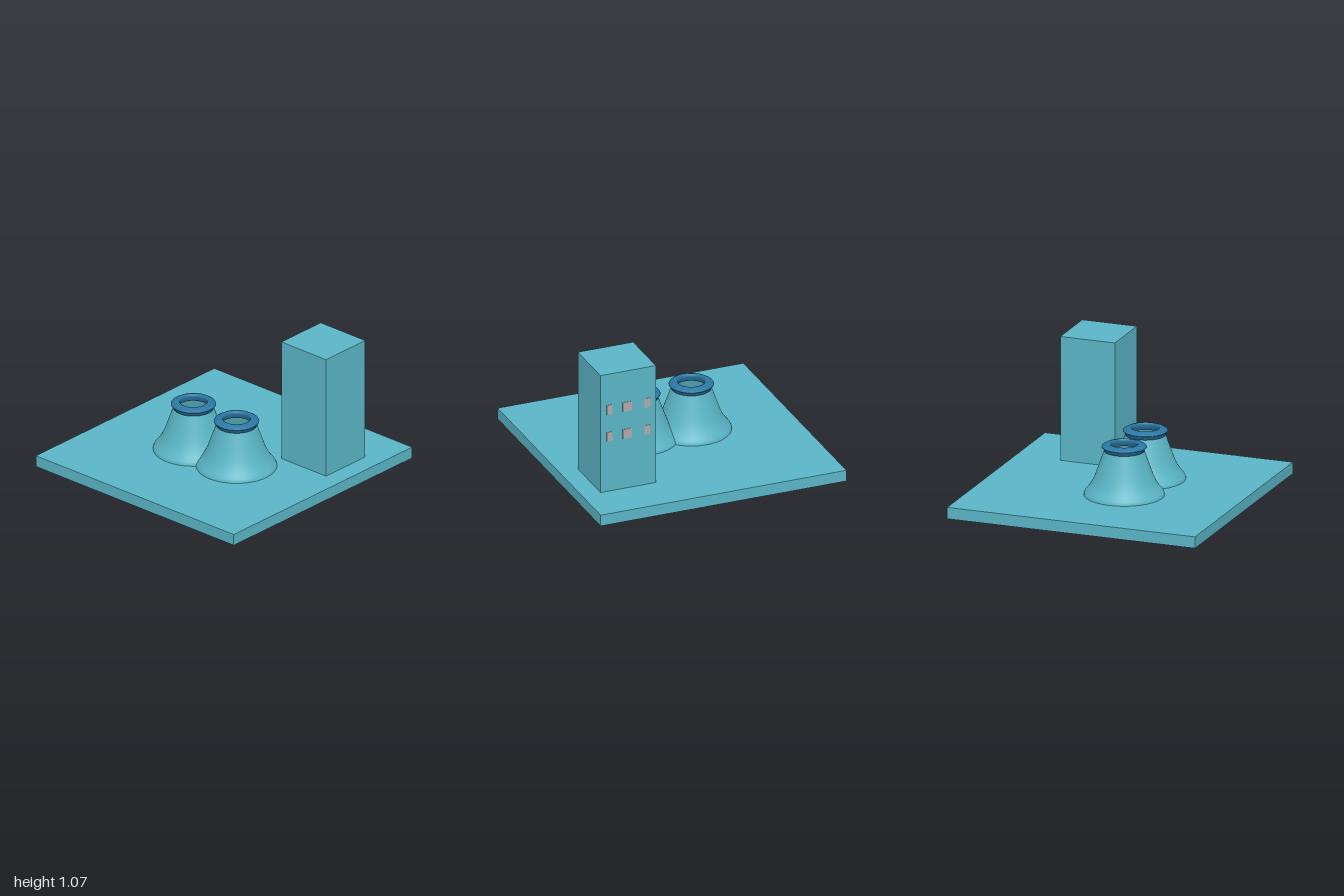
import * as THREE from 'three';

const teal = new THREE.MeshStandardMaterial({ color: 0x5ab5c6 });
const tealShell = new THREE.MeshStandardMaterial({ color: 0x5ab5c6, side: THREE.DoubleSide });
const blue = new THREE.MeshStandardMaterial({ color: 0x2a78a4, side: THREE.DoubleSide });
const grey = new THREE.MeshStandardMaterial({ color: 0xb0aaa8 });

// Box given by its lower and upper corners
function box(name, min, max, material) {
  const size = max.map((v, i) => v - min[i]);
  const mesh = new THREE.Mesh(new THREE.BoxGeometry(...size), material);
  mesh.position.set(...max.map((v, i) => (v + min[i]) / 2));
  mesh.name = name;
  return mesh;
}

// Lathe from [radius, height] pairs
function lathe(name, profile, material) {
  const points = profile.map(([r, y]) => new THREE.Vector2(r, y));
  const mesh = new THREE.Mesh(new THREE.LatheGeometry(points, 64), material);
  mesh.name = name;
  return mesh;
}

// Hollow flared tower with a collar around its open mouth
function coolingTower(x, z) {
  const tower = new THREE.Group();
  tower.name = 'coolingTower';
  tower.add(lathe('towerShell', [
    [0.305, 0.085], [0.303, 0.1], [0.295, 0.118], [0.268, 0.15], [0.242, 0.19],
    [0.218, 0.245], [0.197, 0.305], [0.174, 0.37], [0.152, 0.435],
  ], tealShell));
  tower.add(lathe('towerRim', [
    [0.12, 0.43], [0.152, 0.43], [0.154, 0.452], [0.17, 0.464], [0.168, 0.469],
    [0.145, 0.483], [0.115, 0.491], [0.106, 0.487], [0.102, 0.475], [0.106, 0.455], [0.12, 0.43],
  ], blue));
  tower.position.set(x, 0, z);
  return tower;
}

export function createModel() {
  const model = new THREE.Group();
  model.name = 'powerPlant';

  // Ground slab
  model.add(box('base', [-1, 0, -1], [1, 0.09, 1], teal));

  // Twin overlapping towers
  for (const x of [-0.205, 0.23]) model.add(coolingTower(x, 0.115));

  // Office block with two rows of windows on its back wall
  const office = new THREE.Group();
  office.name = 'officeBlock';
  office.add(box('officeWalls', [0.4, 0.09, -0.64], [0.85, 1.065, -0.2], teal));
  for (const y of [0.505, 0.73]) {
    for (const [x0, x1] of [[0.445, 0.492], [0.595, 0.67], [0.755, 0.8]]) {
      office.add(box('window', [x0, y, -0.643], [x1, y + 0.077, -0.63], grey));
    }
  }
  model.add(office);
  return model;
}
